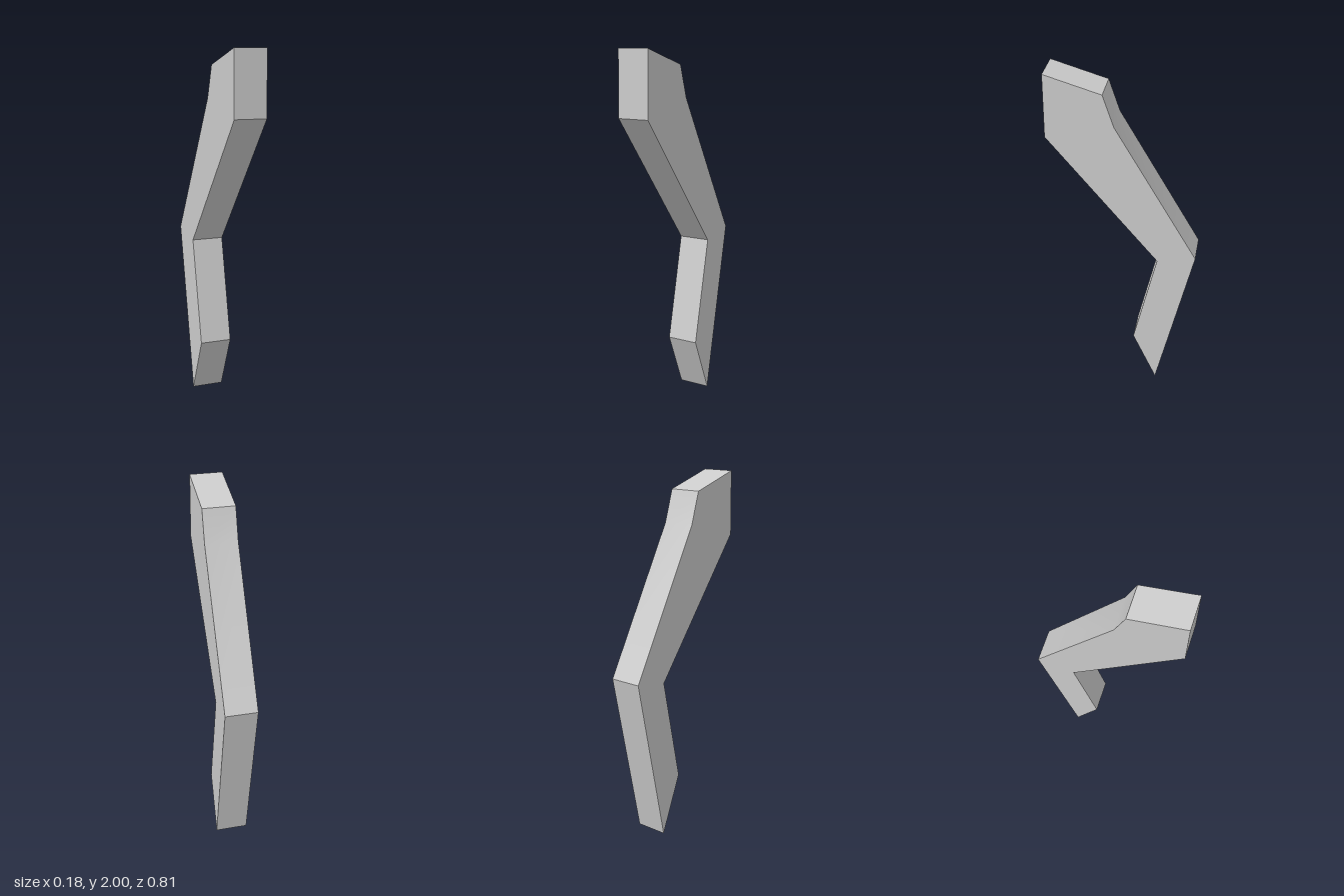
import * as THREE from 'three';
import { toCreasedNormals } from 'three/addons/utils/BufferGeometryUtils.js';

export function createModel() {
  const group = new THREE.Group();
  group.name = 'bentLeg';
  const grey = new THREE.MeshStandardMaterial({ color: 0xcccccc });
  grey.name = 'light grey';

  // Side profile as (z, y), counter-clockwise from the foot tip
  const profile = [
    [-0.2, 0], [-0.405, 0.95], [0.045, 1.735], [0.103, 1.913],
    [0.405, 2], [0.41, 1.645], [-0.193, 0.907], [-0.063, 0.318],
  ];
  const shape = new THREE.Shape(profile.map(([z, y]) => new THREE.Vector2(z, y)));

  // Extrude across the width, then turn the profile to run along z
  const width = 0.182;
  const geometry = new THREE.ExtrudeGeometry(shape, { depth: width, bevelEnabled: false });
  geometry.translate(0, 0, -width / 2);
  geometry.rotateY(-Math.PI / 2);

  // Only the shallow bend at the upper back is smooth
  const leg = new THREE.Mesh(toCreasedNormals(geometry, Math.PI / 6), grey);
  leg.name = 'leg';
  group.add(leg);
  return group;
}
